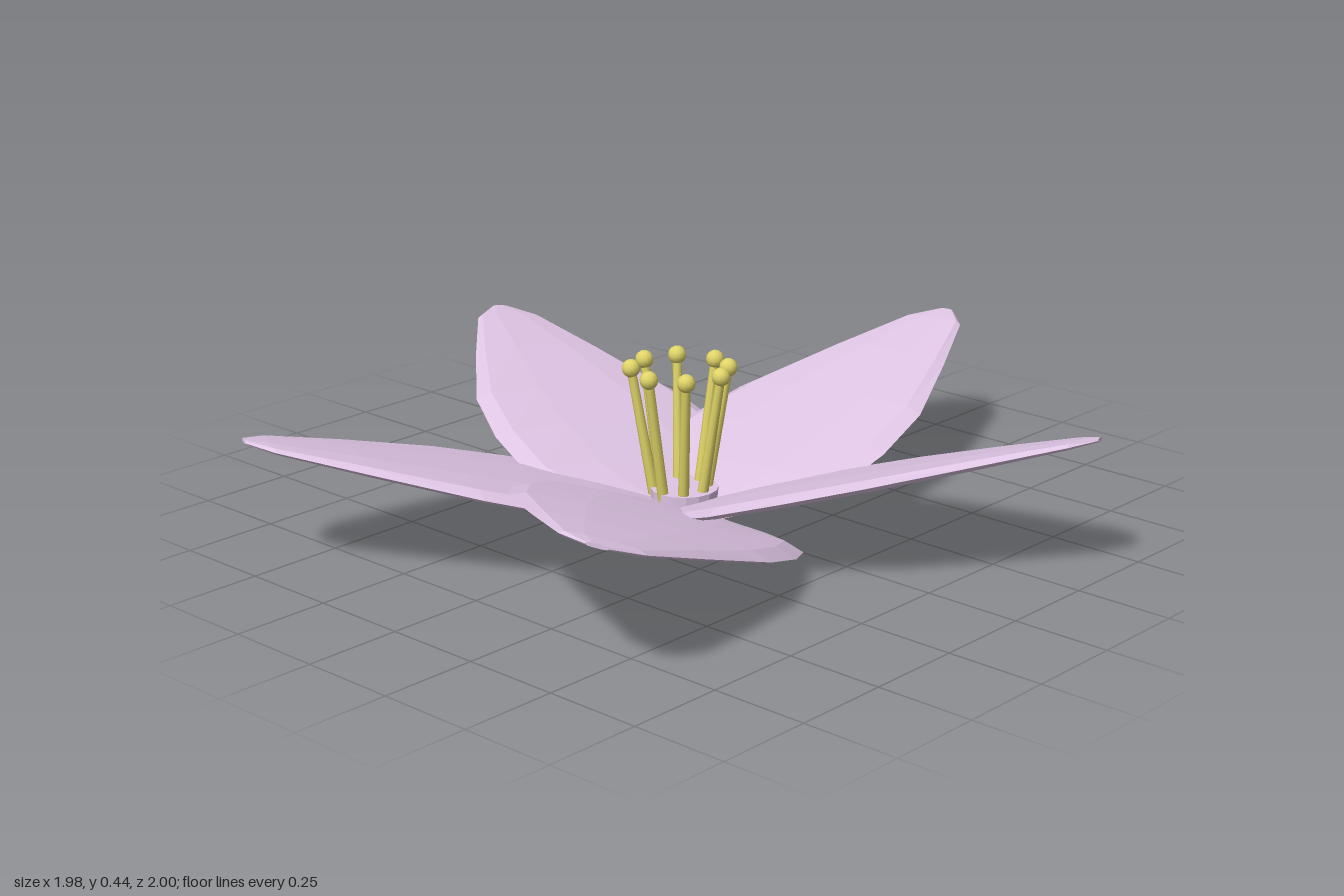
import * as THREE from 'three';

const CX = 0.03, CZ = 0.065; // heart of the flower

// Petal outline: [distance from heart, half width, half thickness]
const STATIONS = [
  [-0.11, 0.03, 0.008], [-0.03, 0.1, 0.012], [0.03, 0.17, 0.014], [0.1, 0.265, 0.017], [0.19, 0.335, 0.02],
  [0.37, 0.34, 0.022], [0.56, 0.305, 0.021], [0.8, 0.195, 0.017], [1.0, 0.095, 0.01], [1.06, 0.025, 0.005],
];
// Cross-section, domed above and flatter below: [fraction of half width, fraction of half thickness]
const SECTION = [
  [1, 0], [0.86, 0.9], [0.4, 1.3], [-0.4, 1.3], [-0.86, 0.9],
  [-1, 0], [-0.86, -0.6], [-0.4, -0.8], [0.4, -0.8], [0.86, -0.6],
];

// Lofts one petal along +x; slope lifts the tip, roll lifts the +z edge
function petalGeometry(slope, roll, stretch) {
  const pos = [], index = [], n = SECTION.length;
  for (const [d, w, t] of STATIONS) {
    for (const [fw, ft] of SECTION) {
      const x = d * stretch, z = fw * w;
      pos.push(x, 0.055 + slope * x + roll * z + ft * t, z);
    }
  }
  for (let i = 0; i < STATIONS.length - 1; i++) {
    for (let j = 0; j < n; j++) {
      const a = i * n + j, c = i * n + (j + 1) % n;
      index.push(a, a + n, c, a + n, c + n, c);
    }
  }
  const end = (STATIONS.length - 1) * n;
  for (let j = 1; j < n - 1; j++) {
    index.push(0, j, j + 1, end, end + j + 1, end + j);
  }
  const g = new THREE.BufferGeometry();
  g.setAttribute('position', new THREE.Float32BufferAttribute(pos, 3));
  g.setIndex(index);
  g.computeVertexNormals();
  return g;
}

export function createModel() {
  const flower = new THREE.Group();
  flower.name = 'flower';
  const petalMat = new THREE.MeshStandardMaterial({ color: 0xe0c6e6, flatShading: true });
  const stamenMat = new THREE.MeshStandardMaterial({ color: 0xe0d468 });

  // Five petals: angle from +x towards +z, slope, roll, stretch, sideways shift in x and z
  const petals = [
    ['backPetal', -90, 0.275, 0.09, 1.0, -0.005, 0],
    ['leftPetal', -23.5, 0.295, 0.22, 0.98, 0, 0.015],
    ['frontLeftPetal', 56.5, 0.295, 0.21, 1.0, -0.005, 0.015],
    ['frontRightPetal', 120, 0.27, -0.125, 1.01, -0.02, 0],
    ['rightPetal', 198.7, 0.24, -0.14, 1.01, 0, 0],
  ];
  for (const [name, angle, slope, roll, stretch, dx, dz] of petals) {
    const petal = new THREE.Mesh(petalGeometry(slope, roll, stretch), petalMat);
    petal.name = name;
    petal.position.set(CX + dx, 0, CZ + dz);
    petal.rotation.y = -THREE.MathUtils.degToRad(angle);
    flower.add(petal);
  }

  // Small round seat for the stamens
  const heart = new THREE.Mesh(new THREE.CylinderGeometry(0.085, 0.08, 0.08, 16), petalMat);
  heart.name = 'heart';
  heart.position.set(CX, 0.08, CZ);
  flower.add(heart);

  // Uneven ring of eight stamens leaning outward
  const up = new THREE.Vector3(0, 1, 0);
  const ballGeo = new THREE.SphereGeometry(0.023, 12, 8);
  for (const degrees of [-86, -49, -9, 40, 86, 140, 180, 224]) {
    const a = THREE.MathUtils.degToRad(degrees);
    const foot = new THREE.Vector3(Math.cos(a) * 0.065, 0.1, Math.sin(a) * 0.065);
    const top = new THREE.Vector3(Math.cos(a) * 0.12, 0.425, Math.sin(a) * 0.12);
    const dir = top.clone().sub(foot);
    const stamen = new THREE.Group();
    stamen.name = 'stamen';
    const stalk = new THREE.Mesh(new THREE.CylinderGeometry(0.011, 0.014, dir.length(), 8), stamenMat);
    stalk.name = 'filament';
    stalk.position.copy(foot).lerp(top, 0.5);
    stalk.quaternion.setFromUnitVectors(up, dir.normalize());
    const ball = new THREE.Mesh(ballGeo, stamenMat);
    ball.name = 'anther';
    ball.position.copy(top);
    stamen.add(stalk, ball);
    stamen.position.set(CX - 0.01, 0, CZ + 0.005);
    flower.add(stamen);
  }
  return flower;
}
